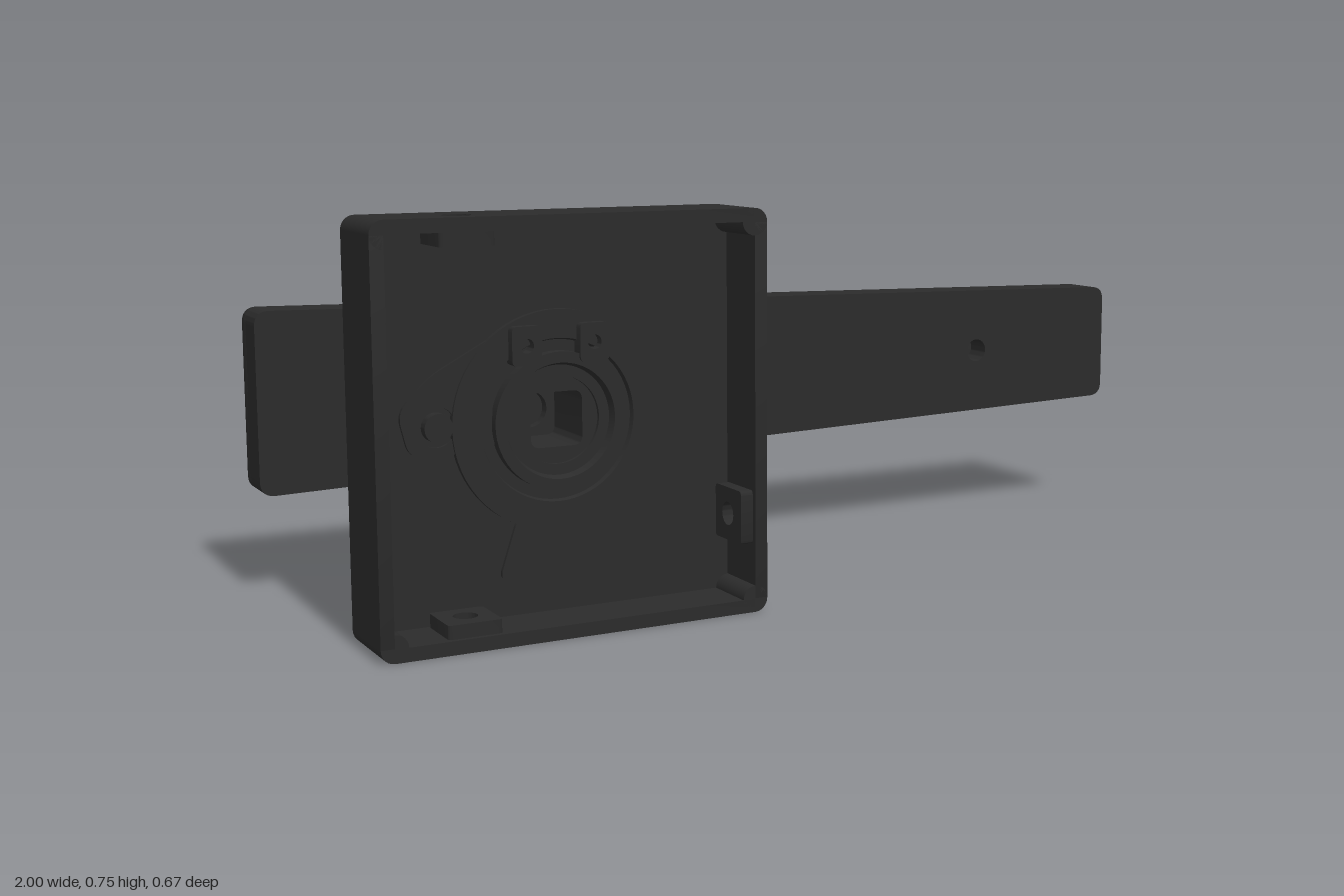
import * as THREE from 'three';
import { toCreasedNormals } from 'three/addons/utils/BufferGeometryUtils.js';

const CX = -0.573, CY = 0.376;             // axis of the neck
const material = new THREE.MeshStandardMaterial({ color: 0x2b2b2b, side: THREE.DoubleSide });

// Polygon with every corner rounded by a radius
function rounded(points, r, Type = THREE.Shape) {
  const v = points.map(([x, y]) => new THREE.Vector2(x, y));
  const shape = new Type();
  v.forEach((p, i) => {
    const a = v[(i + v.length - 1) % v.length], b = v[(i + 1) % v.length];
    const s = p.clone().add(a.clone().sub(p).setLength(r));
    const e = p.clone().add(b.clone().sub(p).setLength(r));
    if (i === 0) shape.moveTo(s.x, s.y); else shape.lineTo(s.x, s.y);
    shape.quadraticCurveTo(p.x, p.y, e.x, e.y);
  });
  shape.closePath();
  return shape;
}

function circle(x, y, r, Type = THREE.Path) {
  return new Type().absarc(x, y, r, 0, Math.PI * 2, false);
}

const rect = (x0, y0, x1, y1) => [[x0, y0], [x1, y0], [x1, y1], [x0, y1]];

// Extrude a shape between two z values, keeping its outline when bevelled
function slab(shape, z0, z1, bevel = 0) {
  const g = new THREE.ExtrudeGeometry(shape, {
    depth: z1 - z0 - 2 * bevel, curveSegments: 20, bevelEnabled: bevel > 0,
    bevelSize: bevel, bevelThickness: bevel, bevelOffset: -bevel, bevelSegments: 2,
  });
  g.translate(0, 0, z0 + bevel);
  return toCreasedNormals(g, 0.5);
}

function add(parent, name, geometry) {
  const mesh = new THREE.Mesh(geometry, material);
  mesh.name = name;
  parent.add(mesh);
  return mesh;
}

function subgroup(parent, name) {
  const g = new THREE.Group();
  g.name = name;
  parent.add(g);
  return g;
}

// Tapered lever outline, inset from its edges
function leverShape(ix, iy, r) {
  const a = 0.177 - iy, b = 0.128 - iy, x = 1 - ix;
  return rounded([[-x, CY - a], [x, CY - b], [x, CY + b], [-x, CY + a]], r);
}

function buildLever(root) {
  const lever = subgroup(root, 'lever');
  const base = leverShape(0, 0, 0.03);
  base.holes.push(circle(0.64, CY, 0.025));
  add(lever, 'leverBase', slab(base, -0.265, -0.195));
  add(lever, 'leverBackEdge', slab(leverShape(0, 0, 0.03), -0.291, -0.25, 0.008));
  add(lever, 'lowerStep', slab(leverShape(0.033, 0.028, 0.025), -0.314, -0.28, 0.005));
  add(lever, 'raisedPanel', slab(leverShape(0.075, 0.073, 0.03), -0.335, -0.3, 0.008));
}

function buildRose(root) {
  const rose = subgroup(root, 'rosePlate');
  const x0 = -0.944, x1 = -0.2, y0 = 0, y1 = 0.75, t = 0.025, z0 = 0.18, z1 = 0.335;
  const holeX = -0.77, holeY = 0.178, holeZ = 0.273;

  // Floor, open around the neck
  const floor = new THREE.Shape(rect(x0 + t, y0 + t, x1 - t, y1 - t).map(p => new THREE.Vector2(...p)));
  floor.holes.push(circle(CX, CY, 0.145));
  add(rose, 'roseFloor', slab(floor, z0, 0.225));

  // Top and bottom walls: drawn in x and z, extruded along y
  for (const [name, y] of [['bottomWall', y0], ['topWall', y1 - t]]) {
    const s = rounded(rect(x0 + t, -z1, x1 - t, -z0), 0.001);
    s.holes.push(circle(holeX, -holeZ, 0.025));
    add(rose, name, slab(s, 0, t).rotateX(-Math.PI / 2).translate(0, y, 0));
  }

  // Side walls: drawn in z and y, extruded along x
  for (const [name, x, hasHole] of [['rightWall', x0, false], ['leftWall', x1 - t, true]]) {
    const s = rounded(rect(-z1, y0 + t, -z0, y1 - t), 0.001);
    if (hasHole) s.holes.push(circle(-holeZ, holeY, 0.025));
    add(rose, name, slab(s, 0, t).rotateY(Math.PI / 2).translate(x, 0, 0));
  }

  // Rounded corner posts
  for (const x of [x0 + t, x1 - t]) for (const y of [y0 + t, y1 - t]) {
    const post = add(rose, 'cornerPost', new THREE.CylinderGeometry(t, t, z1 - z0, 24));
    post.rotation.x = Math.PI / 2;
    post.position.set(x, y, (z0 + z1) / 2);
  }

  // Thickened screw bosses behind the wall holes
  for (const [name, y] of [['bottomBoss', y0 + t], ['topBoss', y1 - t - 0.025]]) {
    const s = rounded(rect(holeX - 0.05, -0.325, holeX + 0.05, -0.225), 0.008);
    s.holes.push(circle(holeX, -holeZ, 0.022));
    add(rose, name, slab(s, 0, 0.025).rotateX(-Math.PI / 2).translate(0, y, 0));
  }
  const side = rounded(rect(-0.325, holeY - 0.05, -0.225, holeY + 0.05), 0.008);
  side.holes.push(circle(-holeZ, holeY, 0.022));
  add(rose, 'sideBoss', slab(side, 0, 0.025).rotateY(Math.PI / 2).translate(x1 - 0.05, 0, 0));
}

function buildNeck(root) {
  // Hollow neck with stepped collars on the inside of the plate
  const profile = [[0.08, -0.19], [0.156, -0.2], [0.156, 0.165], [0.15, 0.168], [0.15, 0.225],
    [0.2, 0.225], [0.2, 0.237], [0.148, 0.237], [0.145, 0.228], [0.125, 0.228], [0.125, 0.25],
    [0.105, 0.25], [0.1, 0.235], [0.08, 0.235], [0.08, -0.19]];
  const lathe = new THREE.LatheGeometry(profile.map(p => new THREE.Vector2(...p)), 64);
  lathe.rotateX(Math.PI / 2).translate(CX, CY, 0);
  add(root, 'neck', toCreasedNormals(lathe, 0.5));

  // Spindle socket with a square opening
  const socket = circle(CX, CY, 0.082, THREE.Shape);
  const h = 0.05;
  socket.holes.push(rounded(rect(CX - h, CY - h, CX + h, CY + h), 0.018, THREE.Path));
  add(root, 'spindleSocket', slab(socket, 0.1, 0.228));
  const end = circle(CX, CY, 0.082, THREE.Shape);
  end.holes.push(circle(CX, CY, 0.034));
  add(root, 'socketEnd', slab(end, 0.08, 0.1));
  add(root, 'socketBottom', slab(circle(CX, CY, 0.08, THREE.Shape), 0.0, 0.02));
}

function buildStop(root) {
  // Spring lobes on the plate floor, with stop block and pins
  const stop = subgroup(root, 'springStop');
  const sideLobe = rounded([[-0.69, 0.33], [-0.85, 0.33], [-0.87, 0.41], [-0.81, 0.47],
    [-0.66, 0.55], [-0.7, 0.45]], 0.025);
  sideLobe.holes.push(circle(-0.8, 0.38, 0.036));
  add(stop, 'sideLobe', slab(sideLobe, 0.22, 0.232));
  const lowerLobe = rounded([[-0.65, 0.21], [-0.69, 0.09], [-0.63, 0.11], [-0.46, 0.22], [-0.56, 0.23]], 0.025);
  add(stop, 'lowerLobe', slab(lowerLobe, 0.22, 0.232));
  add(stop, 'sidePin', slab(circle(-0.8, 0.38, 0.026, THREE.Shape), 0.22, 0.245));
  for (const s of [-1, 1]) {
    const x = CX + s * 0.065;
    const lug = rounded(rect(x - 0.028, 0.48, x + 0.028, 0.55), 0.01);
    lug.holes.push(circle(x, 0.515, 0.013));
    add(stop, 'stopLug', slab(lug, 0.22, 0.255));
  }
}

export function createModel() {
  const root = new THREE.Group();
  root.name = 'doorHandle';
  buildLever(root);
  buildRose(root);
  buildNeck(root);
  buildStop(root);
  // Small loose ball below the neck
  add(root, 'ball', new THREE.SphereGeometry(0.014, 20, 14)).position.set(-0.695, 0.048, -0.006);
  return root;
}
